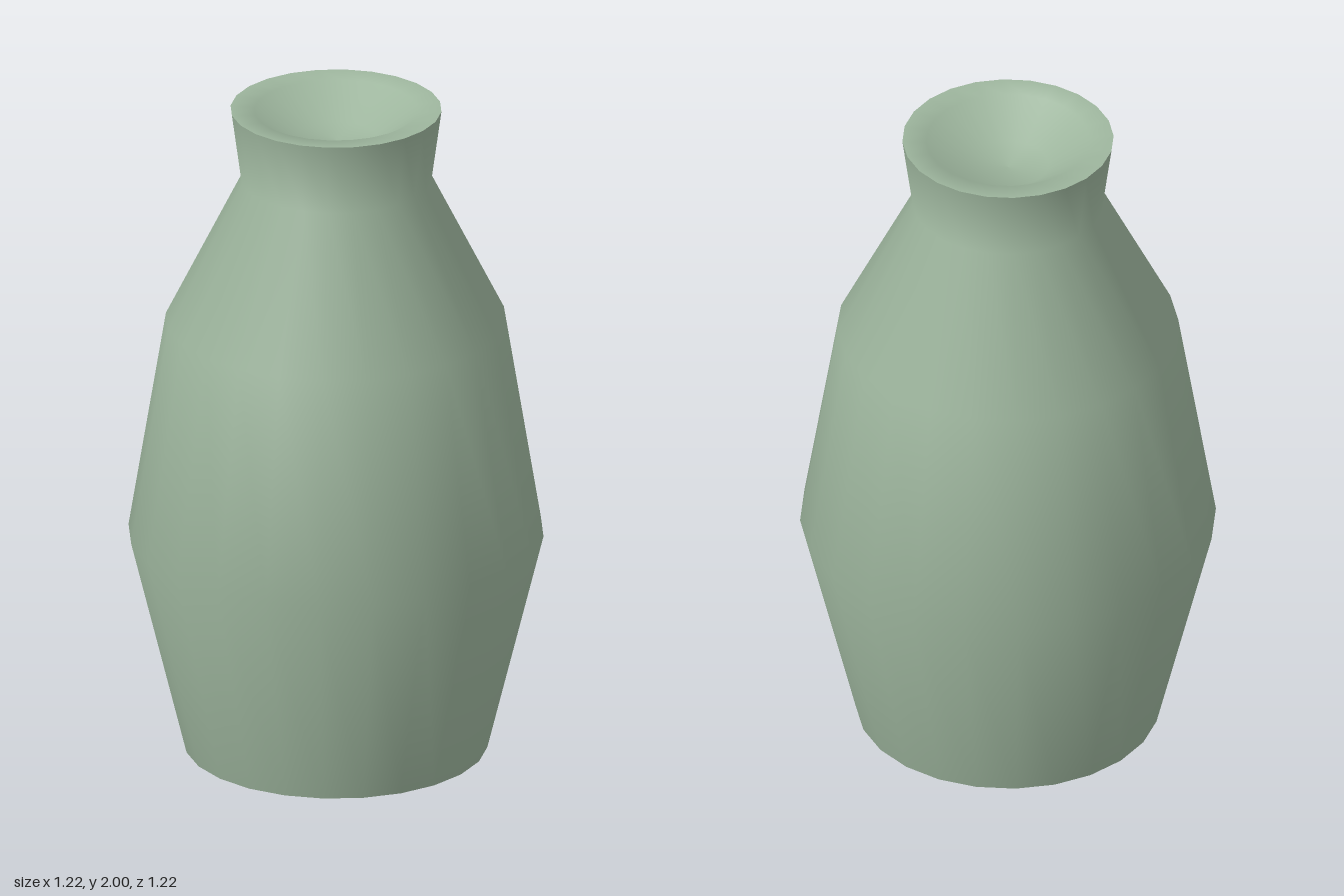
import * as THREE from 'three';

const SIDES = 24;

export function createModel() {
  const group = new THREE.Group();
  group.name = 'vase';
  const material = new THREE.MeshStandardMaterial({ color: 0x9db59d });

  // Turned part from a profile of [radius, height] points
  const turned = (name, profile) => {
    const points = profile.map(([r, y]) => new THREE.Vector2(r, y));
    const mesh = new THREE.Mesh(new THREE.LatheGeometry(points, SIDES), material);
    mesh.name = name;
    group.add(mesh);
  };

  // Flat underside
  turned('base', [[0, 0], [0.445, 0]]);

  // Belly, shoulder and flared neck, shaded smoothly
  turned('body', [[0.445, 0], [0.61, 0.67], [0.5, 1.34], [0.28, 1.78], [0.31, 2]]);

  // Lip with a shallow dished mouth
  turned('mouth', [[0.31, 2], [0.24, 1.995], [0.12, 1.91], [0, 1.9]]);

  return group;
}
